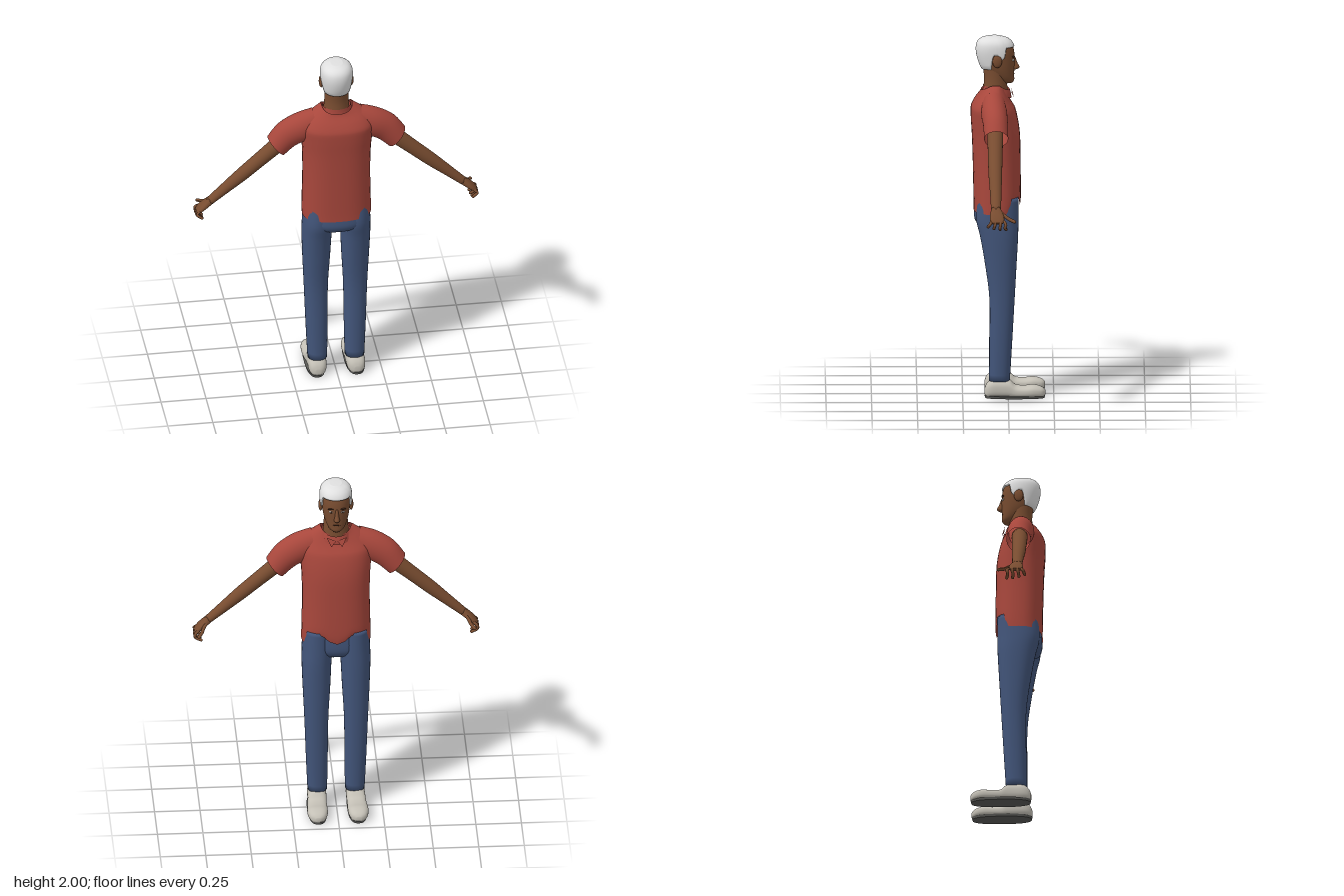
import * as THREE from 'three';
import { mergeGeometries, toCreasedNormals } from 'three/addons/utils/BufferGeometryUtils.js';

const material = (name, color, side = THREE.FrontSide) => {
  const m = new THREE.MeshStandardMaterial({ color, side });
  m.name = name;
  return m;
};

// Catmull-Rom resampling of cross-sections [x, y, z, halfWidth, halfDepth, tiltDegrees]
function smooth(rings, steps = 4) {
  const out = [], n = rings.length;
  const at = (i, k) => rings[Math.min(n - 1, Math.max(0, i))][k] ?? 0;
  for (let i = 0; i < n - 1; i++) {
    for (let s = 0; s < steps; s++) {
      const u = s / steps;
      out.push([0, 1, 2, 3, 4, 5].map(k => {
        const a = at(i - 1, k), b = at(i, k), c = at(i + 1, k), d = at(i + 2, k);
        return b + 0.5 * u * (c - a + u * (2 * a - 5 * b + 4 * c - d + u * (3 * (b - c) + d - a)));
      }));
    }
  }
  out.push([0, 1, 2, 3, 4, 5].map(k => at(n - 1, k)));
  return out;
}

// Skin a grid of points: rows of closed loops, optionally capped at each end
function skin(rows, capStart, capEnd) {
  const seg = rows[0].length, pos = rows.flat(2), idx = [];
  for (let i = 0; i < rows.length - 1; i++) {
    for (let j = 0; j < seg; j++) {
      const a = i * seg + j, b = i * seg + (j + 1) % seg, c = a + seg, d = b + seg;
      idx.push(a, c, b, b, c, d);
    }
  }
  const cap = (row, flip) => {
    const mid = [0, 1, 2].map(k => rows[row].reduce((sum, p) => sum + p[k], 0) / seg);
    const m = pos.length / 3;
    pos.push(...mid);
    for (let j = 0; j < seg; j++) {
      const a = row * seg + j, b = row * seg + (j + 1) % seg;
      idx.push(...(flip ? [m, a, b] : [m, b, a]));
    }
  };
  if (capStart) cap(0, true);
  if (capEnd) cap(rows.length - 1, false);
  const g = new THREE.BufferGeometry();
  g.setAttribute('position', new THREE.Float32BufferAttribute(pos, 3));
  g.setIndex(idx);
  g.computeVertexNormals();
  return g;
}

const SEG = 36;
const power = (v, e) => Math.sign(v) * Math.abs(v) ** (2 / e);
function loft(rings, { e = 2, caps = true, steps = 4 } = {}) {
  const rows = smooth(rings, steps).map(([x, y, z, a, b, tilt]) =>
    Array.from({ length: SEG }, (_, j) => {
      const t = j / SEG * Math.PI * 2, r = tilt * Math.PI / 180;
      const u = power(Math.cos(t), e) * a;
      return [x + u * Math.cos(r), y + u * Math.sin(r), z + power(Math.sin(t), e) * b];
    }));
  return skin(rows, caps, caps);
}

// Move vertices by a rule
function bend(g, rule) {
  const p = g.attributes.position, v = new THREE.Vector3();
  for (let i = 0; i < p.count; i++) {
    v.fromBufferAttribute(p, i);
    rule(v);
    p.setXYZ(i, v.x, v.y, v.z);
  }
  g.computeVertexNormals();
  return g;
}

function mirrored(g) {
  const m = g.clone().scale(-1, 1, 1);
  const ix = m.index.array;
  for (let i = 0; i < ix.length; i += 3) [ix[i], ix[i + 1]] = [ix[i + 1], ix[i]];
  m.computeVertexNormals();
  return m;
}

// Linear lookup in a table of [key, value...] rows with rising keys
function lookup(table, key) {
  let i = 1;
  while (i < table.length - 1 && table[i][0] < key) i++;
  const a = table[i - 1], b = table[i];
  const u = THREE.MathUtils.clamp((key - a[0]) / (b[0] - a[0]), 0, 1);
  return a.map((v, k) => v + (b[k] - v) * u);
}

const ellipsoid = (x, y, z, rx, ry, rz) =>
  new THREE.SphereGeometry(1, 20, 14).scale(rx, ry, rz).translate(x, y, z);

function finger(points, r) {
  const curve = new THREE.CatmullRomCurve3(points.map(p => new THREE.Vector3(...p)));
  const end = curve.getPoint(1);
  return mergeGeometries([new THREE.TubeGeometry(curve, 12, r, 8), ellipsoid(end.x, end.y, end.z, r, r, r)]);
}

export function createModel() {
  const group = new THREE.Group();
  const skinMat = material('skin', 0x784c30);
  const shirtMat = material('shirt red', 0xa8473c, THREE.DoubleSide);
  const jeansMat = material('denim blue', 0x42557a);
  const hairMat = material('white hair', 0xe0e0e0, THREE.DoubleSide);
  const shoeMat = material('shoe grey', 0xc4c0b6);
  const soleMat = material('sole grey', 0x595956);
  const eyeMat = material('eye white', 0xe8e4dc);
  const darkMat = material('dark brown', 0x3e2517);

  const add = (name, g, m) => {
    const mesh = new THREE.Mesh(g, m);
    mesh.name = name;
    group.add(mesh);
  };
  const pair = (name, g, m) => {
    add(name + 'Left', g, m);
    add(name + 'Right', mirrored(g), m);
  };

  // Head and neck (the face looks along -z)
  const skull = [[0, 1.74, 0.018, 0.026, 0.04], [0, 1.755, 0.02, 0.042, 0.053], [0, 1.78, 0.033, 0.056, 0.066],
    [0, 1.82, 0.052, 0.069, 0.086], [0, 1.87, 0.062, 0.077, 0.098], [0, 1.92, 0.069, 0.082, 0.101],
    [0, 1.96, 0.073, 0.077, 0.092], [0, 1.983, 0.075, 0.056, 0.068], [0, 1.992, 0.075, 0.025, 0.032]];
  add('head', loft(skull, { e: 2.15 }), skinMat);
  add('neck', loft([[0, 1.64, 0.07, 0.08, 0.07], [0, 1.71, 0.07, 0.071, 0.066], [0, 1.77, 0.07, 0.066, 0.062],
    [0, 1.84, 0.075, 0.065, 0.065]]), skinMat);
  add('nose', loft([[0, 1.812, -0.028, 0.011, 0.01], [0, 1.825, -0.038, 0.016, 0.024],
    [0, 1.85, -0.035, 0.011, 0.016], [0, 1.888, -0.028, 0.008, 0.009]]), skinMat);
  pair('ear', ellipsoid(0.084, 1.873, 0.06, 0.012, 0.035, 0.026), skinMat);
  pair('eye', ellipsoid(0.031, 1.872, -0.026, 0.013, 0.006, 0.008), eyeMat);
  pair('iris', ellipsoid(0.031, 1.872, -0.032, 0.005, 0.005, 0.003), darkMat);
  pair('brow', ellipsoid(0.032, 1.891, -0.028, 0.018, 0.004, 0.008), darkMat);
  add('mouth', ellipsoid(0, 1.79, -0.028, 0.024, 0.004, 0.007), darkMat);

  // Hair cap: a shell over the skull whose lower edge follows the hairline
  const profile = smooth(skull).map(r => [r[1], r[2], r[3], r[4]]);
  const hairline = [[-1, 1.945], [-0.55, 1.945], [-0.4, 1.89], [-0.2, 1.875], [-0.08, 1.908], [0.12, 1.905], [0.4, 1.825], [1, 1.82]];
  const hairRows = Array.from({ length: 16 }, (_, k) => {
    const u = k === 0 ? 0 : (k - 1) / 14, off = k === 0 ? -0.004 : 0.008;
    return Array.from({ length: 72 }, (_, j) => {
      const t = j / 72 * Math.PI * 2;
      const low = lookup(hairline, Math.sin(t))[1];
      const y = low + (1.992 - low) * (1 - (1 - u) ** 2);
      const [, cz, rx, rz] = lookup(profile, y);
      return [power(Math.cos(t), 2.15) * (rx + off), y + 0.008 * u, cz + power(Math.sin(t), 2.15) * (rz + off)];
    });
  });
  add('hair', skin(hairRows, false, true), hairMat);

  // Shirt body: neckline dips front and back, hem rises over each thigh at the front
  const torso = loft([[0, 1.035, 0.063, 0.19, 0.127], [0, 1.1, 0.06, 0.19, 0.13], [0, 1.3, 0.063, 0.186, 0.131],
    [0, 1.45, 0.067, 0.189, 0.132], [0, 1.55, 0.077, 0.197, 0.128], [0, 1.62, 0.087, 0.2, 0.117],
    [0, 1.68, 0.09, 0.165, 0.093], [0, 1.72, 0.083, 0.112, 0.072], [0, 1.737, 0.078, 0.085, 0.07]],
  { e: 2.4, caps: false });
  add('shirtBody', bend(torso, v => {
    const top = Math.max(0, (v.y - 1.6) / 0.13), low = Math.max(0, (1.2 - v.y) / 0.165);
    v.y -= top * (0.7 * Math.max(0, 0.05 - v.z) + 0.5 * Math.max(0, v.z - 0.09));
    const front = THREE.MathUtils.smoothstep(-v.z, -0.02, 0.05);
    v.y += low * front * (0.02 + 0.05 * THREE.MathUtils.smoothstep(Math.abs(v.x), 0.02, 0.08));
  }), shirtMat);
  pair('sleeve', loft([[0.335, 1.488, 0.067, 0.07, 0.066, 49], [0.275, 1.555, 0.07, 0.08, 0.068, 52],
    [0.2, 1.6, 0.077, 0.085, 0.071, 68], [0.12, 1.63, 0.08, 0.083, 0.066, 80]], { caps: false }), shirtMat);

  // Collar: a tilted open band with two small front flaps
  add('collar', bend(loft([[0, 1.685, 0.062, 0.09, 0.08], [0, 1.708, 0.062, 0.083, 0.077],
    [0, 1.728, 0.065, 0.078, 0.073]], { caps: false }), v => { v.y += 0.35 * Math.min(0, v.z - 0.06); }), shirtMat);
  const flap = new THREE.ShapeGeometry(new THREE.Shape([[0.004, 0], [0.03, -0.035], [0.055, 0.02]]
    .map(p => new THREE.Vector2(...p)))).rotateX(0.35).translate(0, 1.685, -0.022);
  pair('collarFlap', flap, shirtMat);

  // Arms and hands
  pair('arm', loft([[0.705, 1.162, 0.07, 0.022, 0.027, 46], [0.62, 1.237, 0.071, 0.029, 0.031, 48],
    [0.52, 1.325, 0.073, 0.037, 0.037, 48], [0.42, 1.413, 0.073, 0.04, 0.04, 48],
    [0.28, 1.535, 0.072, 0.046, 0.044, 48]]), skinMat);
  pair('palm', loft([[0.772, 1.104, 0.064, 0.009, 0.03, 36], [0.757, 1.117, 0.064, 0.015, 0.039, 40],
    [0.732, 1.14, 0.066, 0.019, 0.038, 42], [0.695, 1.171, 0.07, 0.022, 0.026, 46]], { e: 2.3 }), skinMat);
  [0.094, 0.074, 0.052, 0.031].forEach((z, i) => {
    const drop = [0.016, 0.006, 0, 0][i], out = (0.06 - z) * 0.35;
    pair('finger' + (i + 1), finger([[0.755, 1.118, z], [0.776, 1.1, z - 0.004 + -out],
      [0.774, 1.08 + drop, z - out], [0.752 - i * 0.003, 1.067 + drop, z - out * 1.6]], 0.0085), skinMat);
  });
  pair('thumb', finger([[0.712, 1.155, 0.045], [0.728, 1.138, 0.022], [0.74, 1.122, -0.003], [0.757, 1.112, -0.03]], 0.0095), skinMat);

  // Jeans
  add('jeansSeat', loft([[0, 0.938, 0.062, 0.05, 0.05], [0, 0.95, 0.07, 0.12, 0.088], [0, 0.985, 0.069, 0.176, 0.116],
    [0, 1.04, 0.066, 0.183, 0.12], [0, 1.15, 0.062, 0.172, 0.112]], { e: 2.3 }), jeansMat);
  pair('jeansLeg', loft([[0.103, 0.095, 0.048, 0.054, 0.057], [0.106, 0.3, 0.041, 0.06, 0.062],
    [0.109, 0.55, 0.034, 0.066, 0.069], [0.108, 0.75, 0.041, 0.076, 0.087], [0.107, 0.9, 0.05, 0.082, 0.104],
    [0.102, 1.0, 0.06, 0.085, 0.116], [0.1, 1.12, 0.055, 0.08, 0.112]], { e: 2.2 }), jeansMat);

  // Shoes: sections run from heel to toe, then are laid forward along -z
  const shoe = loft([[0.108, -0.13, 0.035, 0.015, 0.015], [0.108, -0.118, 0.042, 0.037, 0.036],
    [0.107, -0.09, 0.052, 0.05, 0.05], [0.106, -0.04, 0.053, 0.052, 0.052], [0.107, 0.005, 0.051, 0.052, 0.05],
    [0.109, 0.04, 0.037, 0.053, 0.035], [0.111, 0.09, 0.035, 0.056, 0.032], [0.112, 0.14, 0.038, 0.055, 0.034],
    [0.112, 0.185, 0.033, 0.041, 0.027], [0.112, 0.204, 0.03, 0.014, 0.012]], { e: 2.5 }).rotateX(-Math.PI / 2);
  pair('shoe', bend(shoe, v => { v.y = Math.max(v.y, 0.01); }), shoeMat);
  const sole = loft([[0.11, 0, -0.036, 0.052, 0.163], [0.11, 0.014, -0.036, 0.055, 0.166]], { e: 2.6, steps: 1 });
  add('soleLeft', toCreasedNormals(sole, 0.6), soleMat);
  add('soleRight', toCreasedNormals(mirrored(sole), 0.6), soleMat);

  return group;
}
